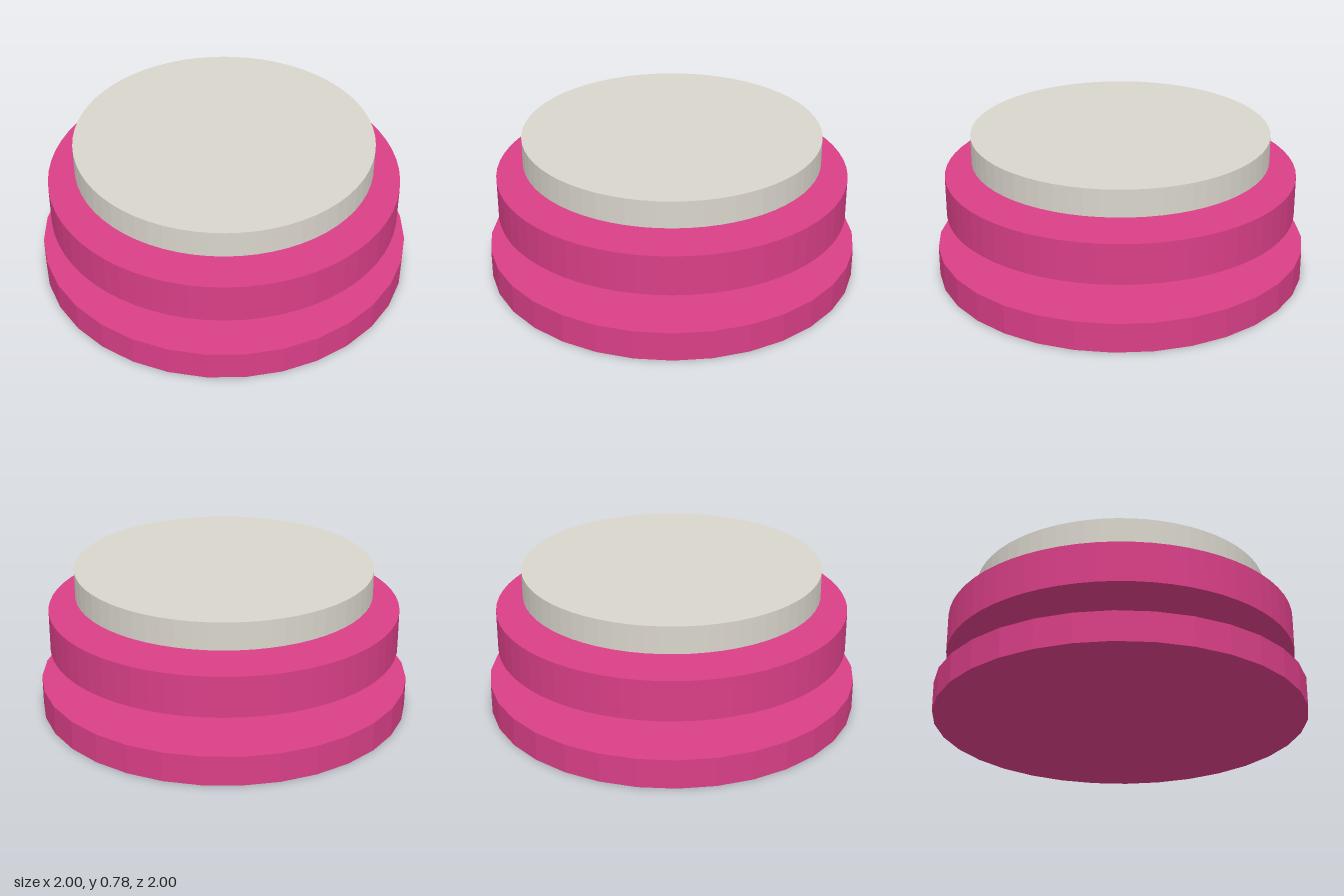
import * as THREE from 'three';

export function createModel() {
  const model = new THREE.Group();

  const pink = new THREE.MeshStandardMaterial({ color: 0xd93f87 });
  pink.name = 'pink';
  const paleGrey = new THREE.MeshStandardMaterial({ color: 0xd9d5cc });
  paleGrey.name = 'paleGrey';
  for (const m of [pink, paleGrey]) m.flatShading = true;

  // A closed disc between two heights
  function addDisc(name, radius, bottom, top, sides, material) {
    const disc = new THREE.Mesh(
      new THREE.CylinderGeometry(radius, radius, top - bottom, sides), material);
    disc.name = name;
    disc.position.y = (bottom + top) / 2;
    model.add(disc);
  }

  // Three separate discs, stacked with open gaps between them
  addDisc('baseDisc', 1, 0, 0.16, 32, pink);
  addDisc('middleDisc', 0.945, 0.345, 0.563, 64, pink);
  addDisc('topDisc', 0.8, 0.635, 0.782, 64, paleGrey);

  return model;
}
